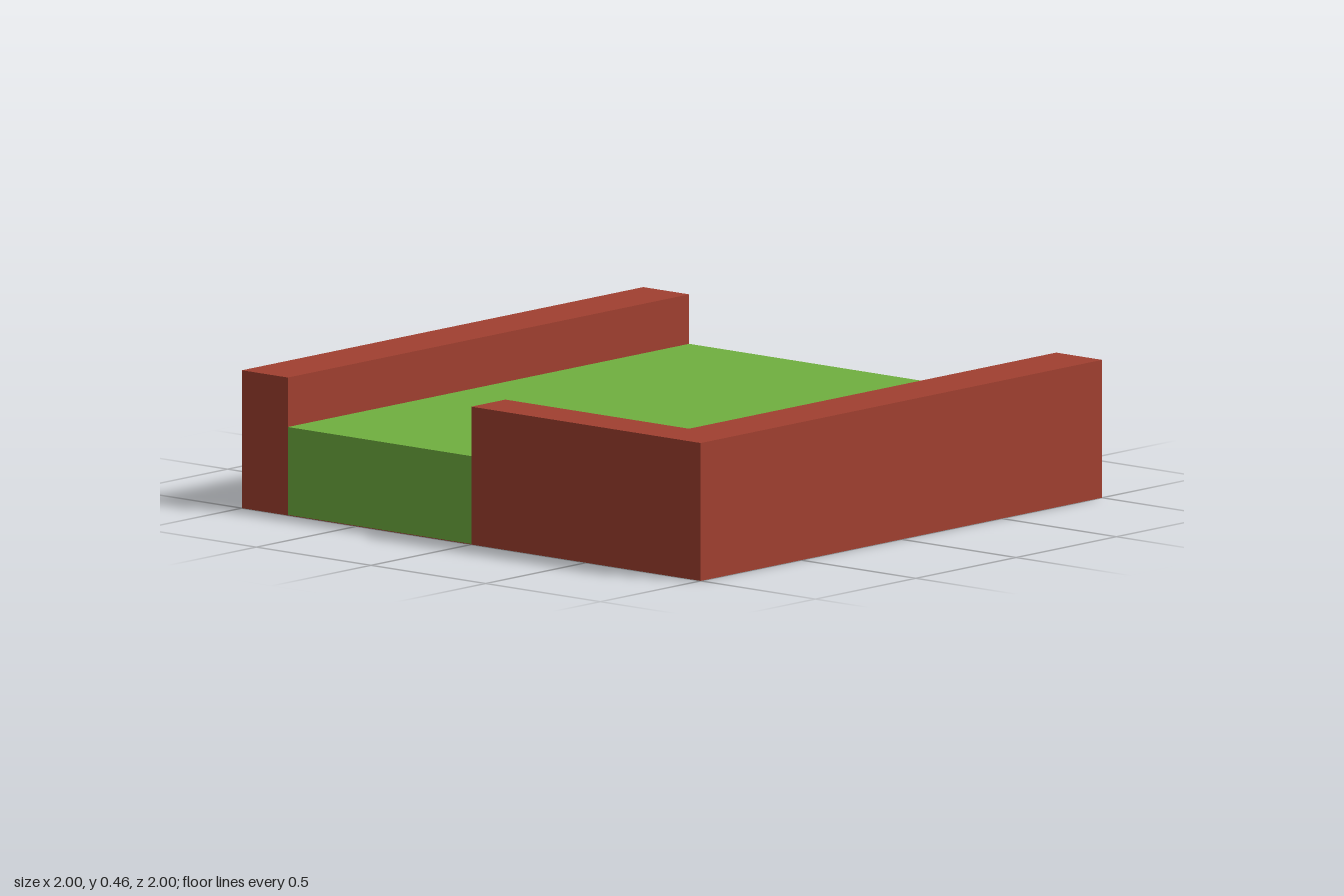
import * as THREE from 'three';

const RED = 0xa04030;
const GREEN = 0x70b040;

// Upright prism from a floor outline of [x, z] points
function slab(name, outline, bottom, top, color) {
  const shape = new THREE.Shape(outline.map(([x, z]) => new THREE.Vector2(x, -z)));
  const geometry = new THREE.ExtrudeGeometry(shape, { depth: top - bottom, bevelEnabled: false });
  geometry.rotateX(-Math.PI / 2).translate(0, bottom, 0);
  const mesh = new THREE.Mesh(geometry, new THREE.MeshStandardMaterial({ color, flatShading: true }));
  mesh.name = name;
  return mesh;
}

export function createModel() {
  const group = new THREE.Group();
  group.name = 'walledLawn';
  const wallTop = 0.46, grassTop = 0.295, skin = 0.002;

  // Straight wall on one side, corner wall turning along half the front on the other
  const rightWall = [[-1, 1], [-0.8, 1], [-0.8, -1], [-1, -1]];
  const cornerWall = [[0, 1], [1, 1], [1, -1], [0.8, -1], [0.8, 0.83], [0, 0.83]];
  // Lawn fills the space between the walls
  const lawn = [[-0.8, 1], [0, 1], [0, 0.83], [0.8, 0.83], [0.8, -1], [-0.8, -1]];

  group.add(
    slab('rightWall', rightWall, 0, wallTop, RED),
    slab('cornerWall', cornerWall, 0, wallTop, RED),
    slab('lawn', lawn, skin, grassTop, GREEN),
    // Thin red underside below the lawn
    slab('base', lawn, 0, skin, RED),
  );
  return group;
}
